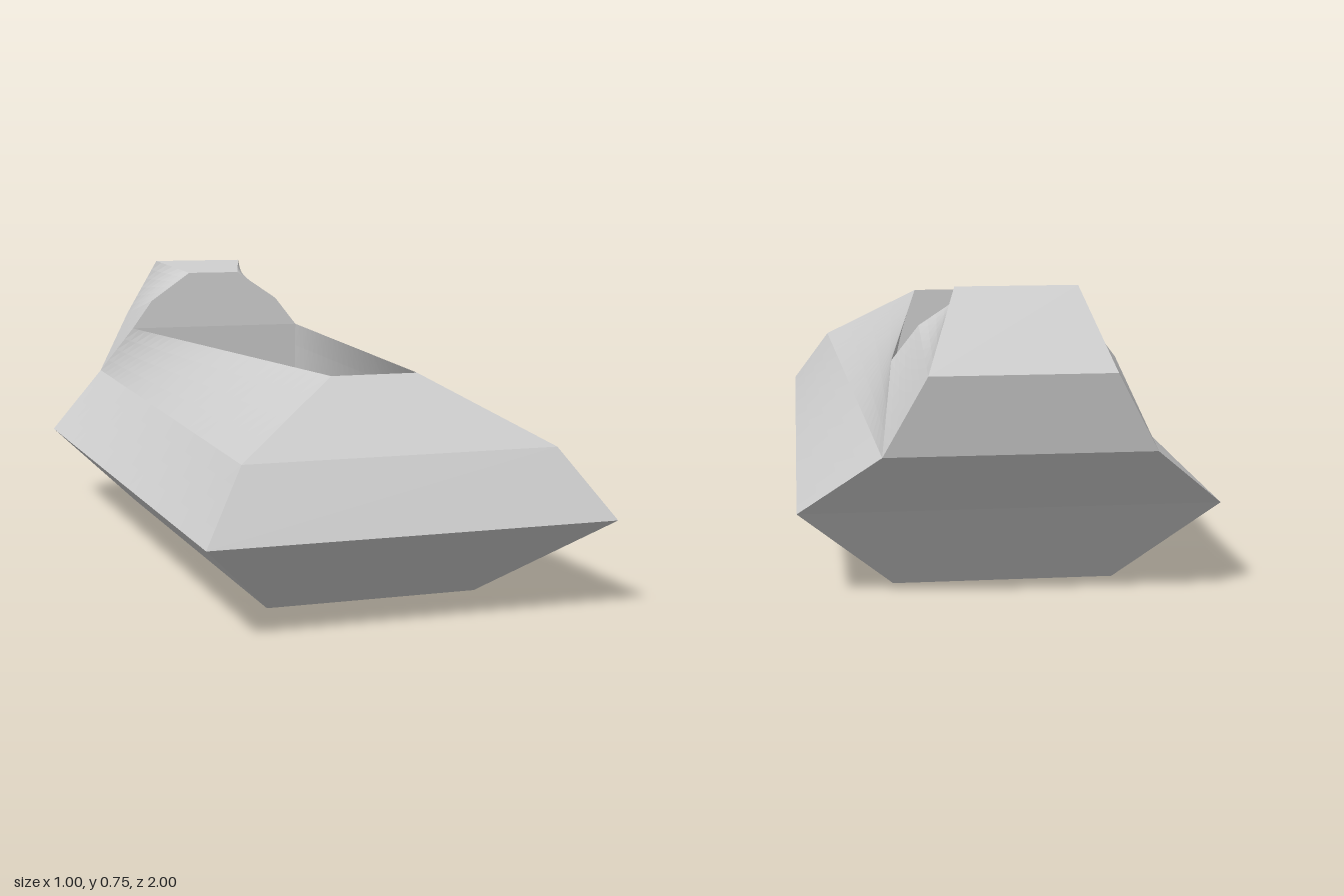
import * as THREE from 'three';

// Key points of the +x half; the other half is mirrored.
const P = {
  baseFront: [0.27, 0, 0.71], baseBack: [0.27, 0, -0.66],
  chineFront: [0.5, 0.22, 1], chineBack: [0.5, 0.22, -0.81],
  shoulderFront: [0.39, 0.385, 0.9], shoulderBack: [0.31, 0.385, -0.97],
  rimFront: [0.11, 0.55, 0.71], rimBack: [0.27, 0.55, -0.66],
  floorFront: [0.27, 0.27, 0.71], floorBack: [0.27, 0.27, -0.66],
  archMid: [0.205, 0.635, -0.67], archTop: [0.08, 0.72, -0.68],
  hoodTop: [0.14, 0.75, -0.87], hoodRear: [0.21, 0.57, -1],
};

const vec = (name) => new THREE.Vector3(...P[name]);
const mirror = (v) => new THREE.Vector3(-v.x, v.y, v.z);

// Bilinear patch a-b-c-d, counter-clockwise from outside, nu by nv cells.
function patch(out, a, b, c, d, nu = 1, nv = 1) {
  const at = (u, v) => a.clone().lerp(b, u).lerp(d.clone().lerp(c, u), v);
  for (let i = 0; i < nu; i++) {
    for (let j = 0; j < nv; j++) {
      const u0 = i / nu, u1 = (i + 1) / nu, v0 = j / nv, v1 = (j + 1) / nv;
      const p = at(u0, v0), q = at(u1, v0), r = at(u1, v1), s = at(u0, v1);
      for (const k of [p, q, r, p, r, s]) out.push(k.x, k.y, k.z);
    }
  }
}

// Panels running from the left side to the right along a chain of points.
function cross(out, ...names) {
  for (let i = 0; i < names.length - 1; i++) {
    const lo = vec(names[i]), hi = vec(names[i + 1]);
    patch(out, mirror(lo), lo, hi, mirror(hi));
  }
}

// One side panel and its mirror image.
function sides(out, names, nu = 1, nv = 1) {
  const [a, b, c, d] = names.map(vec);
  patch(out, a, b, c, d, nu, nv);
  patch(out, mirror(b), mirror(a), mirror(d), mirror(c), nu, nv);
}

export function createModel() {
  const model = new THREE.Group();
  model.name = 'craftBody';
  const grey = new THREE.MeshStandardMaterial({ color: 0xcccccc, flatShading: true });
  grey.name = 'plainGrey';

  const part = (name, build) => {
    const points = [];
    build(points);
    const geometry = new THREE.BufferGeometry();
    geometry.setAttribute('position', new THREE.Float32BufferAttribute(points, 3));
    geometry.computeVertexNormals();
    const mesh = new THREE.Mesh(geometry, grey);
    mesh.name = name;
    model.add(mesh);
  };

  // Flared underside
  part('lowerHull', (o) => {
    cross(o, 'chineBack', 'baseBack', 'baseFront', 'chineFront');
    sides(o, ['baseFront', 'baseBack', 'chineBack', 'chineFront']);
  });

  // Sloping nose and twisted flanks
  part('upperHull', (o) => {
    cross(o, 'chineFront', 'shoulderFront', 'rimFront');
    cross(o, 'shoulderBack', 'chineBack');
    sides(o, ['chineFront', 'chineBack', 'shoulderBack', 'shoulderFront'], 24, 4);
    sides(o, ['shoulderFront', 'shoulderBack', 'rimBack', 'rimFront'], 24, 4);
  });

  // Open well with walls leaning inward toward the nose
  part('well', (o) => {
    cross(o, 'rimFront', 'floorFront', 'floorBack', 'rimBack');
    sides(o, ['floorBack', 'floorFront', 'rimFront', 'rimBack'], 24, 4);
  });

  // Raised hood at the back
  part('rearHood', (o) => {
    cross(o, 'rimBack', 'archMid', 'archTop', 'hoodTop', 'hoodRear', 'shoulderBack');
    sides(o, ['rimBack', 'shoulderBack', 'hoodRear', 'archMid'], 6, 6);
    sides(o, ['archMid', 'hoodRear', 'hoodTop', 'archTop'], 6, 6);
  });

  return model;
}
